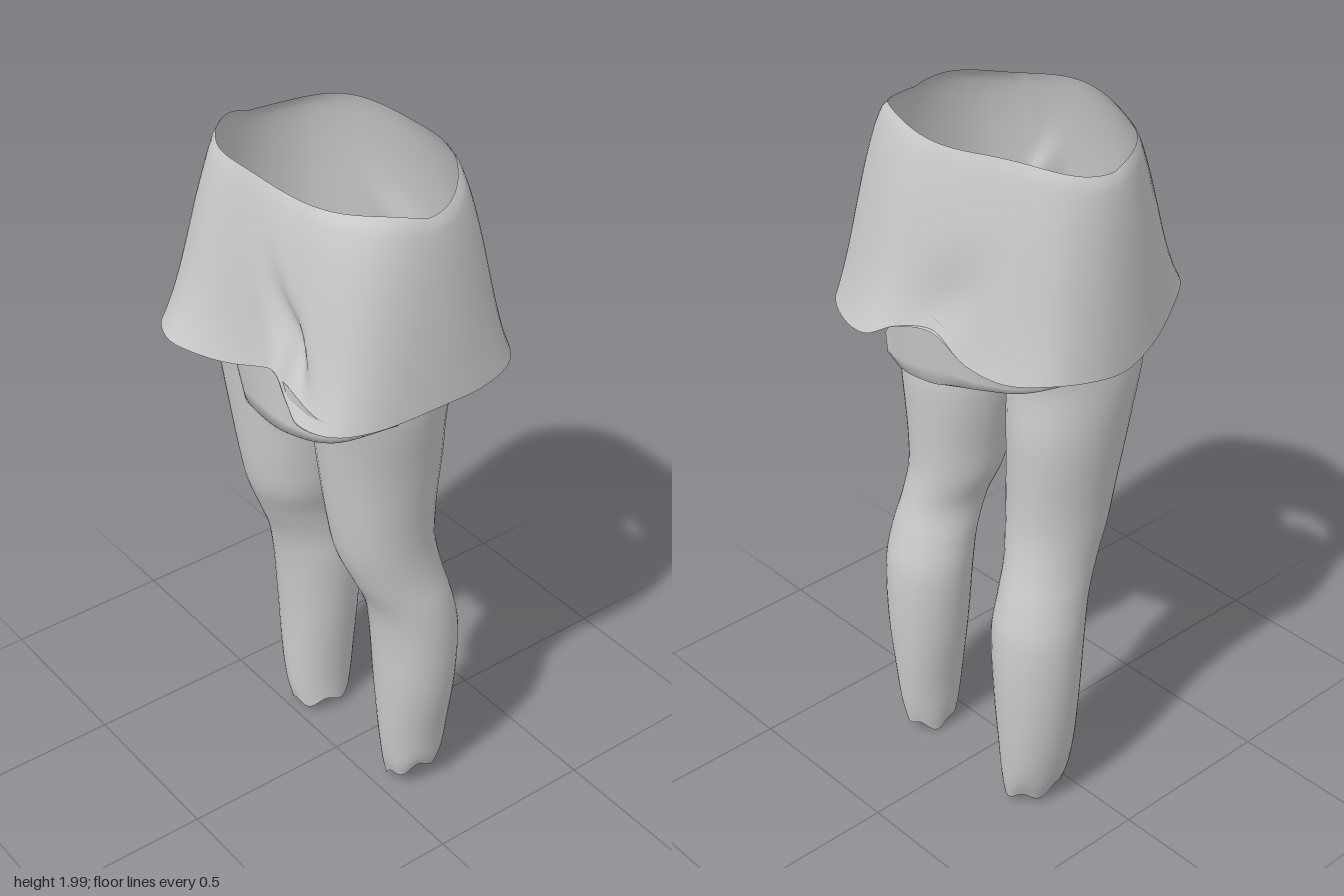
import * as THREE from 'three';

const material = new THREE.MeshStandardMaterial({ color: 0xcccccc, side: THREE.DoubleSide });
const lerp = THREE.MathUtils.lerp;
const curve = (pts, closed = false) =>
  new THREE.CatmullRomCurve3(pts.map((p) => new THREE.Vector3(...p)), closed);

// Smooth surface from fn(u, v) -> [x, y, z]; u may close on itself
function surface(name, fn, nu, nv, closed) {
  const pos = [], idx = [], cols = closed ? nu : nu + 1;
  for (let j = 0; j <= nv; j++)
    for (let i = 0; i < cols; i++) pos.push(...fn(i / nu, j / nv));
  for (let j = 0; j < nv; j++)
    for (let i = 0; i < nu; i++) {
      const a = j * cols + i, b = j * cols + (i + 1) % cols;
      idx.push(a, a + cols, b, b, a + cols, b + cols);
    }
  const g = new THREE.BufferGeometry();
  g.setAttribute('position', new THREE.Float32BufferAttribute(pos, 3));
  g.setIndex(idx);
  g.computeVertexNormals();
  const mesh = new THREE.Mesh(g, material);
  mesh.name = name;
  return mesh;
}

// Leg: oval rings [y, xMin, xMax, zFront, zBack], torn and slanted at the ankle
function leg(name, rings, slant) {
  const mid = curve(rings.map(([y, a, b, f, k]) => [(a + b) / 2, y, (f + k) / 2]));
  const rad = curve(rings.map(([y, a, b, f, k]) => [(b - a) / 2, y, (f - k) / 2]));
  const y0 = rings[0][0];
  return surface(name, (u, v) => {
    const c = mid.getPoint(v), r = rad.getPoint(v), a = u * Math.PI * 2;
    const tear = slant * Math.cos(a) + 0.012 * Math.sin(5 * a);
    const y = c.y + tear * Math.max(0, 1 - (c.y - y0) / 0.12);
    return [c.x + r.x * Math.cos(a), y, c.z + r.z * Math.sin(a)];
  }, 40, 70, true);
}

// Cloth strip blended through three lines: top, hem and tucked-in edge
function strip(name, lines) {
  const [top, hem, inner] = lines.map((l) => curve(l));
  return surface(name, (u, v) => {
    const [p, q, t] = v < 0.5 ? [top, hem, v * 2] : [hem, inner, v * 2 - 1];
    return p.getPoint(u).lerp(q.getPoint(u), t).toArray();
  }, 40, 10, false);
}

export function createModel() {
  const group = new THREE.Group();

  group.add(leg('rightLeg', [
    [0.04, -0.28, -0.145, -0.01, -0.195], [0.1, -0.305, -0.145, 0, -0.21],
    [0.2, -0.33, -0.14, 0.005, -0.222], [0.4, -0.355, -0.122, 0.01, -0.235],
    [0.6, -0.36, -0.11, 0.025, -0.235], [0.7, -0.35, -0.115, 0.045, -0.215],
    [0.8, -0.34, -0.11, 0.085, -0.188], [0.9, -0.342, -0.09, 0.125, -0.17],
    [1.0, -0.35, -0.085, 0.145, -0.167], [1.2, -0.38, -0.08, 0.17, -0.172],
    [1.4, -0.405, -0.05, 0.2, -0.17], [1.52, -0.4, -0.015, 0.25, -0.25],
  ], 0.006));
  group.add(leg('leftLeg', [
    [0.055, 0.16, 0.28, -0.03, -0.195], [0.1, 0.15, 0.29, -0.018, -0.205],
    [0.2, 0.135, 0.3, -0.005, -0.217], [0.4, 0.105, 0.33, 0.008, -0.23],
    [0.6, 0.09, 0.34, 0.02, -0.228], [0.7, 0.095, 0.335, 0.04, -0.205],
    [0.8, 0.1, 0.32, 0.085, -0.177], [0.9, 0.07, 0.315, 0.125, -0.16],
    [1.0, 0.055, 0.32, 0.145, -0.16], [1.2, 0.025, 0.345, 0.17, -0.17],
    [1.4, 0.02, 0.38, 0.2, -0.17], [1.52, -0.01, 0.39, 0.25, -0.25],
  ], 0.035));

  // Flared hem line, from the left side round the front
  const hem = curve([
    [0.43, 1.46, 0], [0.415, 1.455, 0.2], [0.365, 1.45, 0.29], [0.27, 1.45, 0.325],
    [0.215, 1.48, 0.315], [0.17, 1.55, 0.32], [0.1, 1.53, 0.32], [0.02, 1.5, 0.33],
    [-0.06, 1.49, 0.36], [-0.17, 1.5, 0.4], [-0.27, 1.5, 0.36], [-0.34, 1.48, 0.26],
    [-0.4, 1.45, 0.13], [-0.43, 1.43, 0], [-0.43, 1.44, -0.1], [-0.39, 1.45, -0.21],
    [-0.29, 1.44, -0.28], [-0.18, 1.46, -0.31], [-0.08, 1.52, -0.33], [0.02, 1.51, -0.365],
    [0.1, 1.47, -0.395], [0.25, 1.45, -0.355], [0.36, 1.45, -0.28], [0.41, 1.45, -0.16],
  ], true);

  // Shorts shell: full hips, flaring late, up to the wavy waist
  group.add(surface('shorts', (u, v) => {
    const h = hem.getPoint(u), a = Math.atan2(h.z / 0.36, h.x / 0.43), t = 1 - v;
    const waistY = 1.945 + 0.045 * Math.abs(Math.sin(a)) + 0.008 * Math.sin(5 * a);
    const x = lerp(-0.008 + 0.362 * Math.cos(a), h.x, Math.pow(t, 0.55));
    const y = lerp(waistY, h.y, t);
    const flare = 0.5 * Math.pow(t, 0.7) + 0.5 * Math.pow(t, 3.5);
    let z = lerp(0.25 * Math.sin(a), h.z, flare) + 0.02 * Math.sin(a) * Math.sin(Math.PI * t);
    // Diagonal creases where the cloth wraps over, front and back
    const crease = (px, py, width) => {
      const along = x - px + (y - py) * 0.5;
      return Math.exp(-Math.pow(along / width, 2) - Math.pow((y - py) / 0.12, 2));
    };
    z += z > 0 ? -0.035 * crease(0.19, 1.64, 0.035) : 0.015 * crease(-0.1, 1.6, 0.08);
    return [x, y, z];
  }, 120, 28, true));

  // Underside of the hem, tucked in towards the legs
  group.add(surface('hemLining', (u, v) => {
    const h = hem.getPoint(u), t = 1 - v;
    return [h.x * (1 - 0.1 * t), h.y + 0.05 * t * t, h.z * (1 - 0.25 * t)];
  }, 120, 5, true));

  // Lower wrapped layer in front of the left leg
  group.add(strip('frontUnderlayer', [
    [[-0.145, 1.44, 0.19], [-0.1, 1.47, 0.25], [-0.04, 1.5, 0.295], [0.06, 1.55, 0.31],
      [0.2, 1.53, 0.31], [0.34, 1.48, 0.29], [0.42, 1.46, 0.13]],
    [[-0.145, 1.42, 0.18], [-0.09, 1.375, 0.23], [-0.04, 1.35, 0.265], [0.05, 1.365, 0.295],
      [0.2, 1.385, 0.31], [0.34, 1.41, 0.265], [0.41, 1.44, 0.12]],
    [[-0.1, 1.44, 0.15], [-0.06, 1.42, 0.17], [-0.02, 1.4, 0.18], [0.05, 1.42, 0.2],
      [0.2, 1.45, 0.21], [0.3, 1.46, 0.18], [0.37, 1.47, 0.1]],
  ]));

  // Lower wrapped layer behind the right leg
  group.add(strip('backUnderlayer', [
    [[0.1, 1.45, -0.33], [0.06, 1.5, -0.335], [-0.03, 1.56, -0.32], [-0.1, 1.54, -0.31],
      [-0.2, 1.49, -0.295], [-0.32, 1.46, -0.25], [-0.42, 1.46, -0.08]],
    [[0.1, 1.39, -0.325], [0.06, 1.35, -0.31], [-0.03, 1.34, -0.29], [-0.1, 1.36, -0.285],
      [-0.2, 1.385, -0.275], [-0.32, 1.41, -0.23], [-0.41, 1.435, -0.08]],
    [[0.07, 1.38, -0.25], [0.03, 1.33, -0.2], [-0.05, 1.28, -0.165], [-0.1, 1.33, -0.16],
      [-0.2, 1.4, -0.18], [-0.32, 1.43, -0.14], [-0.37, 1.46, -0.05]],
  ]));

  // Saddle of cloth between the legs, widening to front and back
  group.add(surface('crotch', (u, v) => {
    const z = 0.25 - 0.5 * v, s = (u * 2 - 1) * (0.03 + 0.16 * Math.pow(z / 0.25, 2));
    return [s - 0.015, 1.38 + 0.7 * Math.abs(s), z];
  }, 12, 16, false));

  return group;
}
